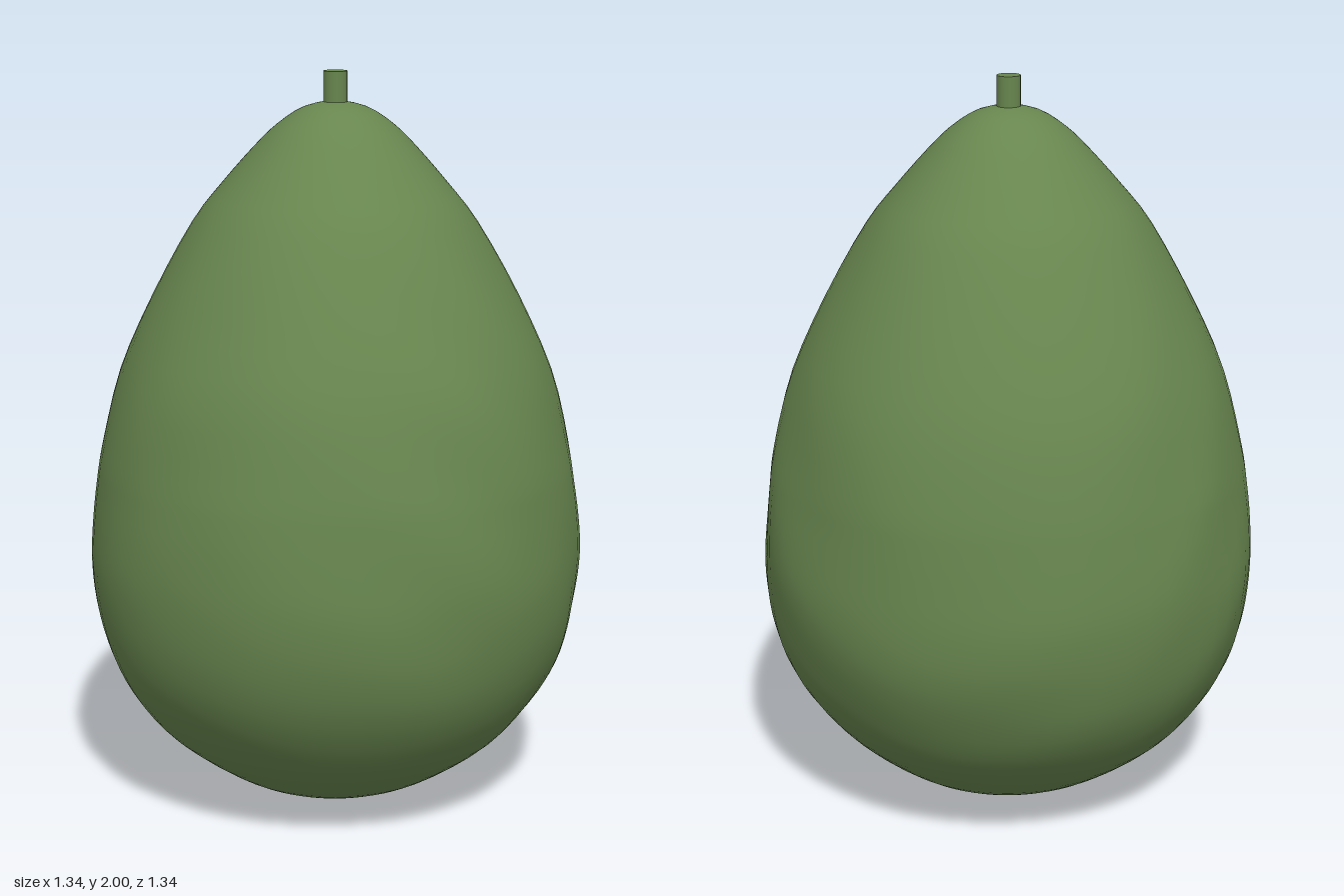
import * as THREE from 'three';
import { mergeVertices } from 'three/addons/utils/BufferGeometryUtils.js';

// Half outline of the fruit, [radius, height] from base to tip
const OUTLINE = [
  [0, 0.005], [0.12, 0.018], [0.24, 0.05], [0.345, 0.105], [0.47, 0.2], [0.555, 0.3],
  [0.612, 0.4], [0.646, 0.5], [0.664, 0.6], [0.67, 0.7], [0.664, 0.8], [0.652, 0.9],
  [0.635, 1.0], [0.583, 1.2], [0.494, 1.4], [0.382, 1.6], [0.305, 1.7], [0.217, 1.8],
  [0.155, 1.86], [0.085, 1.905], [0, 1.925],
];

function fruitGeometry() {
  const curve = new THREE.SplineCurve(OUTLINE.map(([r, y]) => new THREE.Vector2(r, y)));
  const profile = curve.getPoints(60);
  profile.forEach((p) => { p.x = Math.max(0, p.x); });
  profile[0].x = profile[profile.length - 1].x = 0;

  // Drop uv and normals so that the seam and poles weld into one smooth skin
  let geometry = new THREE.LatheGeometry(profile, 64);
  geometry.deleteAttribute('uv');
  geometry.deleteAttribute('normal');
  geometry = mergeVertices(geometry, 1e-4);

  // Gentle uneven dents in the skin
  const pos = geometry.attributes.position;
  for (let i = 0; i < pos.count; i++) {
    const x = pos.getX(i), y = pos.getY(i), z = pos.getZ(i);
    const wave = Math.sin(9 * x + 7 * y + 2) * Math.sin(11 * z - 8 * y + 1)
      + 0.5 * Math.sin(17 * x - 13 * z + 12 * y);
    const s = 1 + 0.005 * wave;
    pos.setXYZ(i, x * s, y, z * s);
  }
  geometry.computeVertexNormals();
  return geometry;
}

export function createModel() {
  const group = new THREE.Group();
  group.name = 'avocado';
  const green = new THREE.MeshStandardMaterial({ color: 0x68864f });
  green.name = 'avocadoGreen';

  // Fruit body
  const body = new THREE.Mesh(fruitGeometry(), green);
  body.name = 'fruitBody';

  // Short stem
  const stem = new THREE.Mesh(new THREE.CylinderGeometry(0.032, 0.032, 0.11, 16), green);
  stem.name = 'stem';
  stem.position.y = 1.945;

  group.add(body, stem);
  return group;
}
